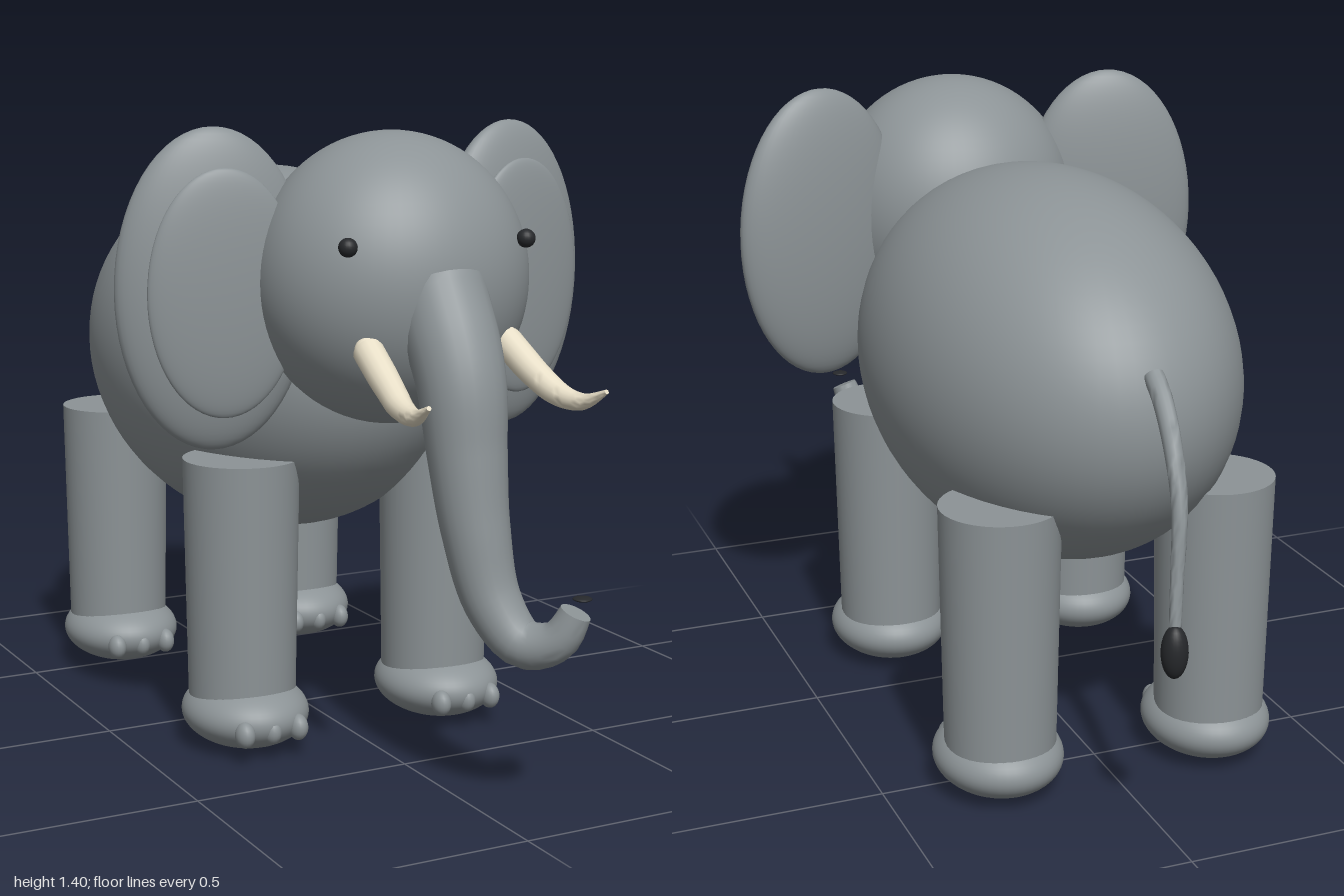
import * as THREE from 'three';
import { toCreasedNormals } from 'three/addons/utils/BufferGeometryUtils.js';

const material = (name, color) => Object.assign(new THREE.MeshStandardMaterial({ color }), { name });

// Tube along a curve whose radius follows a list of evenly spaced values, with flat ends
function taperedTube(points, radii, segments = 48, sides = 24) {
  const curve = new THREE.CatmullRomCurve3(points.map(p => new THREE.Vector3(...p)));
  const geo = new THREE.TubeGeometry(curve, segments, 1, sides);
  const pos = geo.attributes.position;
  const v = new THREE.Vector3();
  for (let i = 0; i <= segments; i++) {
    const end = i === 0 || i === segments;
    const t = (i === 0 ? 1 : i === segments ? segments - 1 : i) / segments;
    const centre = curve.getPointAt(t);
    const f = t * (radii.length - 1);
    const k = Math.min(Math.floor(f), radii.length - 2);
    const r = end ? 0 : THREE.MathUtils.lerp(radii[k], radii[k + 1], f - k);
    const ring = curve.getPointAt(i / segments);
    for (let j = 0; j <= sides; j++) {
      const n = i * (sides + 1) + j;
      v.fromBufferAttribute(pos, n).sub(ring).multiplyScalar(r).add(centre);
      pos.setXYZ(n, v.x, v.y, v.z);
    }
  }
  return toCreasedNormals(geo, 1);
}

export function createModel() {
  const group = new THREE.Group();
  group.name = 'elephant';
  const skin = material('greySkin', 0x8c9396);
  const ivory = material('ivory', 0xe8dfc8);
  const dark = material('darkGrey', 0x26282b);

  const add = (name, geo, mat, position = [0, 0, 0]) => {
    const mesh = new THREE.Mesh(geo, mat);
    mesh.name = name;
    mesh.position.set(...position);
    group.add(mesh);
    return mesh;
  };
  const ellipsoid = (name, mat, position, radii, detail = 48) => {
    const geo = new THREE.SphereGeometry(1, detail, Math.round(detail * 0.66));
    geo.scale(...radii);
    return add(name, geo, mat, position);
  };

  // Body and head
  ellipsoid('body', skin, [0, 0.85, -0.19], [0.395, 0.43, 0.61], 64);
  ellipsoid('head', skin, [0, 1.075, 0.417], [0.305, 0.315, 0.28], 64);

  // Trunk, curling up and to the left at its tip
  add('trunk', taperedTube([
    [0, 1.09, 0.61], [0, 0.9, 0.715], [0, 0.75, 0.745], [0.005, 0.6, 0.773],
    [0.025, 0.45, 0.812], [0.06, 0.372, 0.875], [0.1, 0.39, 0.94], [0.13, 0.47, 0.974],
  ], [0.1, 0.098, 0.09, 0.08, 0.07, 0.06, 0.048, 0.03]), skin);
  ellipsoid('nostril', dark, [0.132, 0.482, 0.978], [0.02, 0.005, 0.02], 20);

  for (const s of [1, -1]) {
    const side = s > 0 ? 'left' : 'right';

    // Ears, swept back at the outer edge
    ellipsoid(side + 'Ear', skin, [s * 0.365, 1.055, 0.302], [0.214, 0.345, 0.065]).rotation.y = s * 0.2;
    ellipsoid(side + 'InnerEar', skin, [s * 0.367, 1.053, 0.365], [0.166, 0.264, 0.03]).rotation.y = s * 0.2;

    // Eyes and tusks
    ellipsoid(side + 'Eye', dark, [s * 0.212, 1.168, 0.622], [0.02, 0.02, 0.02], 20);
    add(side + 'Tusk', taperedTube([
      [s * 0.165, 0.96, 0.615], [s * 0.175, 0.895, 0.73], [s * 0.185, 0.865, 0.8],
      [s * 0.195, 0.86, 0.87], [s * 0.206, 0.895, 0.95],
    ], [0.033, 0.032, 0.028, 0.018, 0.003], 32, 16), ivory);
    ellipsoid(side + 'TuskRoot', ivory, [s * 0.165, 0.955, 0.625], [0.031, 0.031, 0.025], 20);

    // Legs, feet and three toes on each foot
    for (const [end, z] of [['Front', 0.19], ['Rear', -0.562]]) {
      const leg = side + end;
      add(leg + 'Leg', new THREE.CylinderGeometry(0.131, 0.121, 0.58, 40), skin, [s * 0.25, 0.372, z]);
      ellipsoid(leg + 'Foot', skin, [s * 0.25, 0.083, z + 0.015], [0.141, 0.08, 0.16]);
      for (const dx of [-0.065, 0, 0.065]) {
        ellipsoid(leg + 'Toe', skin, [s * 0.25 + dx, 0.07, z + 0.153], [0.022, 0.03, 0.028], 20);
      }
    }
  }

  // Tail with a dark tuft
  add('tail', taperedTube([
    [0, 0.985, -0.755], [0.002, 0.94, -0.815], [0.006, 0.855, -0.878],
    [0.012, 0.75, -0.925], [0.025, 0.615, -0.948], [0.037, 0.485, -0.968],
  ], [0.022, 0.02, 0.017, 0.014, 0.012], 32, 14), skin);
  ellipsoid('tailTuft', dark, [0.037, 0.465, -0.97], [0.028, 0.057, 0.028], 24);

  return group;
}
